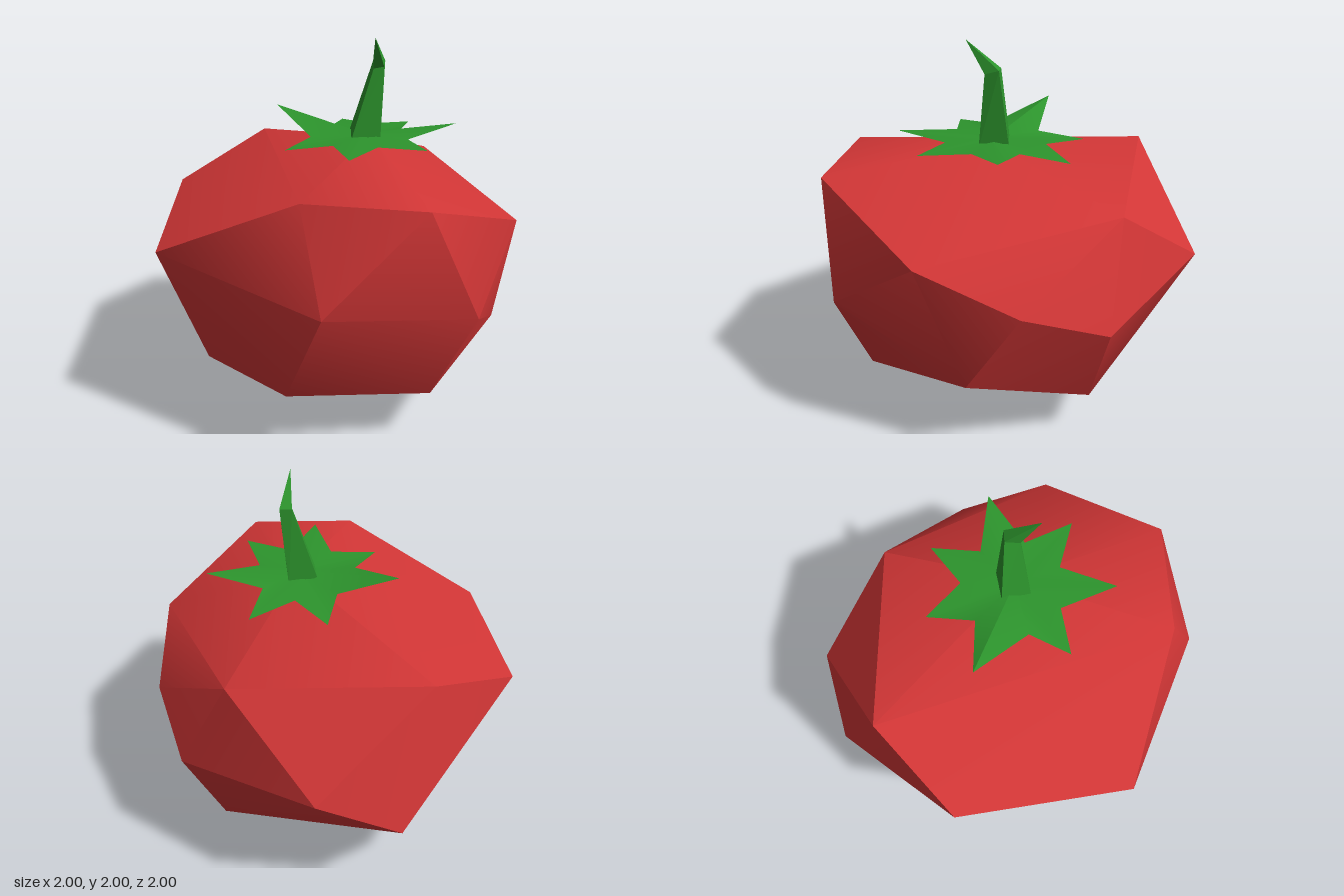
import * as THREE from 'three';
import { ConvexGeometry } from 'three/addons/geometries/ConvexGeometry.js';
import { toCreasedNormals } from 'three/addons/utils/BufferGeometryUtils.js';

const vec = (p) => new THREE.Vector3(...p);

// Faceted geometry from a list of [a, b, c] corner triples
function facets(triangles) {
  const geometry = new THREE.BufferGeometry().setFromPoints(triangles.flat().map(vec));
  geometry.computeVertexNormals();
  return geometry;
}

// Irregular faceted fruit: the hull of a few corners, softened where facets are nearly level
function fruitGeometry() {
  const crown = [[0.2, 1.47, 0]];
  const shoulder = [
    [0.19, 1.36, 0.85], [0.75, 1.34, 0.67], [1, 1.1, -0.03], [0.27, 1.23, -0.77],
    [-0.7, 1.31, -0.5], [-1, 1.08, 0], [-0.6, 1, 0.86],
  ];
  const waist = [
    [0.36, 0.88, 1], [0.95, 0.77, 0.49], [0.83, 0.88, -0.5],
    [0.53, 0.72, -0.83], [-0.28, 0.84, -1], [-0.66, 0.6, -0.8],
  ];
  const underside = [
    [0.09, 0.33, 0.83], [0.72, 0.29, 0.46], [0.87, 0.44, -0.22], [0.39, 0.24, -0.68],
    [-0.55, 0.2, -0.46], [-0.72, 0.31, 0.27], [-0.41, 0.39, 0.73], [0.1, 0, -0.01],
  ];
  const points = [...crown, ...shoulder, ...waist, ...underside].map(vec);
  return toCreasedNormals(new ConvexGeometry(points), 0.55);
}

// Seven pointed leaves around a centre; tips and notches alternate
function calyxGeometry() {
  const centre = [0.17, 1.48, 0];
  const tips = [
    [-0.38, 1.58, -0.06], [-0.12, 1.45, -0.39], [0.26, 1.45, -0.48], [0.6, 1.52, -0.26],
    [0.58, 1.48, 0.2], [0.29, 1.48, 0.51], [-0.12, 1.45, 0.37],
  ];
  const notches = [
    [-0.08, 1.47, -0.14], [0.1, 1.47, -0.27], [0.3, 1.47, -0.22], [0.41, 1.47, -0.01],
    [0.32, 1.47, 0.2], [0.1, 1.47, 0.26], [-0.08, 1.47, 0.14],
  ];
  const rim = tips.flatMap((tip, i) => [tip, notches[i]]);
  const fan = rim.map((p, i) => [centre, rim[(i + 1) % rim.length], p]);
  return toCreasedNormals(facets(fan), 0.6);
}

// Tapering four-sided stalk with a bent, pointed end
function stemGeometry() {
  const base = [[0.06, 1.46, -0.04], [0.13, 1.45, 0.1], [0.27, 1.45, 0.03], [0.2, 1.45, -0.11]];
  const bend = [[0.19, 1.86, -0.06], [0.22, 1.83, 0.01], [0.27, 1.84, -0.01], [0.25, 1.86, -0.08]];
  const tip = [0.26, 2, 0.1];
  const triangles = [];
  for (let i = 0; i < 4; i++) {
    const j = (i + 1) % 4;
    triangles.push([base[i], base[j], bend[j]], [base[i], bend[j], bend[i]], [bend[i], bend[j], tip]);
  }
  return facets(triangles);
}

export function createModel() {
  const red = new THREE.MeshStandardMaterial({ color: 0xd23636 });
  red.name = 'tomato red';
  const green = new THREE.MeshStandardMaterial({ color: 0x2d952d, side: THREE.DoubleSide });
  green.name = 'leaf green';

  const group = new THREE.Group();
  group.name = 'tomato';
  const add = (name, geometry, material) => {
    const mesh = new THREE.Mesh(geometry, material);
    mesh.name = name;
    group.add(mesh);
  };
  add('fruit', fruitGeometry(), red);
  add('calyx', calyxGeometry(), green);
  add('stem', stemGeometry(), green);
  return group;
}
